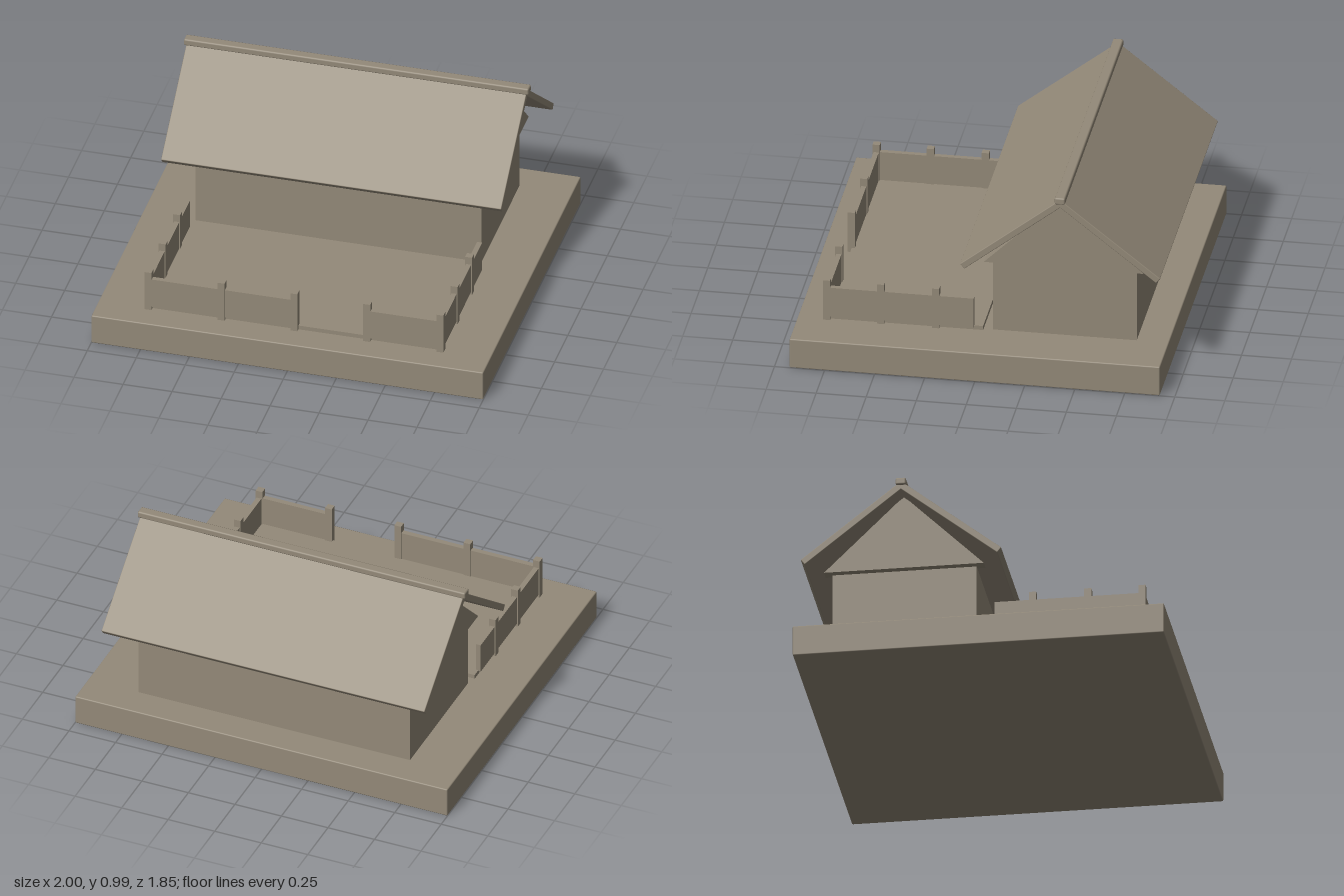
import * as THREE from 'three';
import { RoundedBoxGeometry } from 'three/addons/geometries/RoundedBoxGeometry.js';

export function createModel() {
  const group = new THREE.Group();
  const clay = new THREE.MeshStandardMaterial({ color: 0x948a79 });
  clay.name = 'clay';

  const add = (name, geometry, x, y, z) => {
    const mesh = new THREE.Mesh(geometry, clay);
    mesh.name = name;
    mesh.position.set(x, y, z);
    group.add(mesh);
    return mesh;
  };
  // Box given by its lower and upper corners; a bevel softens the edges
  const block = (name, [x0, y0, z0], [x1, y1, z1], bevel = 0) => {
    const size = [x1 - x0, y1 - y0, z1 - z0];
    const geometry = bevel
      ? new RoundedBoxGeometry(...size, 1, bevel)
      : new THREE.BoxGeometry(...size);
    return add(name, geometry, (x0 + x1) / 2, (y0 + y1) / 2, (z0 + z1) / 2);
  };

  const ground = 0.158;
  const ridgeZ = -0.405;

  // Ground slab and raised yard
  block('base', [-1, 0, -0.925], [1, ground, 0.925], 0.006);
  block('yard', [-0.745, ground - 0.01, 0], [0.745, 0.18, 0.778]);

  // House body
  block('walls', [-0.73, ground - 0.005, -0.765], [0.73, 0.547, -0.048]);

  // Triangular gable plates, slightly wider than the walls
  const triangle = new THREE.Shape([
    new THREE.Vector2(-0.398, 0),
    new THREE.Vector2(0.398, 0),
    new THREE.Vector2(0, 0.388),
  ]);
  const gable = new THREE.ExtrudeGeometry(triangle, { depth: 0.06, bevelEnabled: false });
  gable.translate(0, 0, -0.03).rotateY(Math.PI / 2);
  for (const side of [-1, 1]) {
    add(side > 0 ? 'leftGable' : 'rightGable', gable, side * 0.737, 0.547, ridgeZ);
  }

  // Sloping roof panels, from ridge to eaves
  const run = 0.49, rise = 0.386;
  const panel = new RoundedBoxGeometry(1.736, 0.034, Math.hypot(run, rise), 1, 0.004);
  for (const side of [-1, 1]) {
    const roof = add(side > 0 ? 'frontRoof' : 'backRoof', panel,
      0, 0.565 + rise / 2, ridgeZ + side * run / 2);
    roof.rotation.x = side * Math.atan2(rise, run);
  }
  block('ridgeCap', [-0.88, 0.951, ridgeZ - 0.026], [0.88, 0.987, ridgeZ + 0.026], 0.008);

  // Fence posts
  const fenceX = 0.745, fenceZ = 0.78;
  const post = (x, z) =>
    block('fencePost', [x - 0.018, ground, z - 0.018], [x + 0.018, 0.375, z + 0.018]);
  for (const x of [-fenceX, -0.372, 0, 0.372, fenceX]) post(x, fenceZ);
  for (const z of [0.51, 0.235]) for (const x of [-fenceX, fenceX]) post(x, z);

  // Fence panels, with an open gateway at the front
  const half = 0.013, low = 0.175, high = 0.334;
  for (const [a, b] of [[-fenceX, -0.372], [-0.372, 0], [0.372, fenceX]]) {
    block('frontFence', [a, low, fenceZ - half], [b, high, fenceZ + half]);
  }
  for (const x of [-fenceX, fenceX]) {
    for (const [a, b] of [[0.51, fenceZ], [0.235, 0.51], [0.045, 0.235]]) {
      block('sideFence', [x - half, low, a], [x + half, high, b]);
    }
  }
  return group;
}
